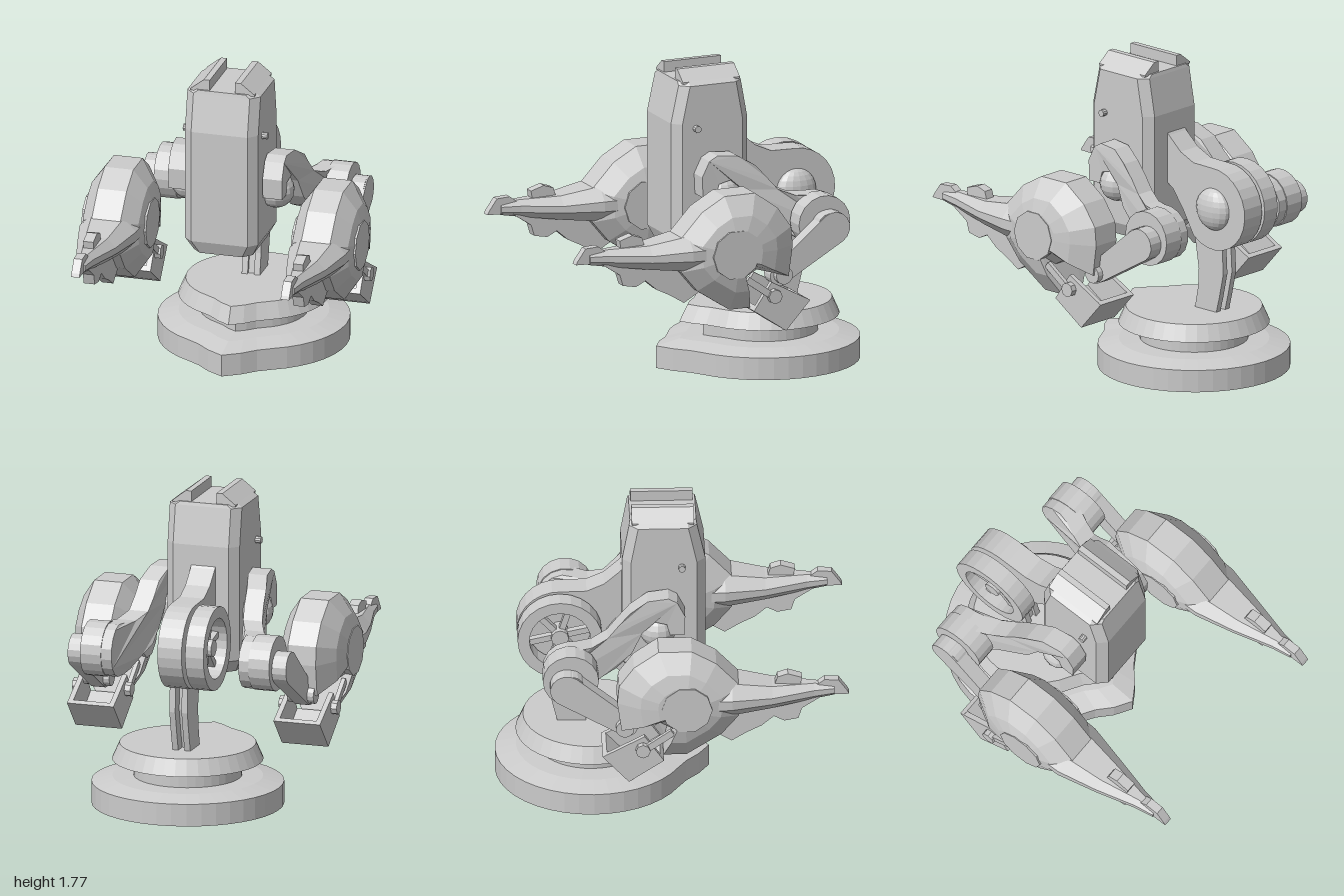
import * as THREE from 'three';

const mat = new THREE.MeshStandardMaterial({ color: 0xcccccc, flatShading: true, side: THREE.DoubleSide });

function add(parent, name, geo, x = 0, y = 0, z = 0) {
  const m = new THREE.Mesh(geo, mat);
  m.name = name;
  m.position.set(x, y, z);
  parent.add(m);
  return m;
}

// Plate drawn as [z, y] points, extruded to a width along x and centred on x = 0
function plate(pts, width, holes = []) {
  const s = new THREE.Shape(pts.map(p => new THREE.Vector2(...p)));
  holes.forEach(h => s.holes.push(new THREE.Path(h.map(p => new THREE.Vector2(...p)))));
  const g = new THREE.ExtrudeGeometry(s, { depth: width, bevelEnabled: false });
  return g.translate(0, 0, -width / 2).rotateY(-Math.PI / 2);
}

// Arc of [z, y] points
function arc(cz, cy, r, a0, a1, n) {
  return Array.from({ length: n + 1 }, (_, i) => {
    const a = a0 + (a1 - a0) * i / n;
    return [cz + r * Math.cos(a), cy + r * Math.sin(a)];
  });
}

// Cylinder along x
function drum(r, w, n = 18) {
  return new THREE.CylinderGeometry(r, r, w, n).rotateZ(Math.PI / 2);
}

// Closed solid through equal-length rings of [x, y, z] points
function loft(rings) {
  const n = rings[0].length, v = rings.flat(), idx = [];
  for (let r = 0; r < rings.length - 1; r++) for (let i = 0; i < n; i++) {
    const a = r * n + i, b = r * n + (i + 1) % n;
    idx.push([a, b, a + n], [b, b + n, a + n]);
  }
  [0, rings.length - 1].forEach(r => {
    const c = [0, 1, 2].map(k => rings[r].reduce((s, p) => s + p[k], 0) / n);
    v.push(c);
    for (let i = 0; i < n; i++) {
      const a = r * n + i, b = r * n + (i + 1) % n;
      idx.push(r ? [a, b, v.length - 1] : [b, a, v.length - 1]);
    }
  });
  // turn the faces outward
  const P = v.map(p => new THREE.Vector3(...p));
  const vol = idx.reduce((s, [a, b, c]) => s + P[a].dot(P[b].clone().cross(P[c])), 0);
  const g = new THREE.BufferGeometry().setFromPoints(P);
  g.setIndex(idx.flatMap(t => vol < 0 ? [t[0], t[2], t[1]] : t));
  const out = g.toNonIndexed();
  out.computeVertexNormals();
  return out;
}

// Rectangle with cut corners, in two axes
function chamfered(a0, a1, b0, b1, c) {
  return [[a0 + c, b0], [a1 - c, b0], [a1, b0 + c], [a1, b1 - c], [a1 - c, b1], [a0 + c, b1], [a0, b1 - c], [a0, b0 + c]];
}

// Turned base with a small pointed nose at the front
function makeBase() {
  const prof = [[0, 0], [.55, 0], [.55, .13], [.43, .16], [.31, .165], [.31, .26], [.432, .26], [.39, .355], [0, .355]];
  const g = new THREE.LatheGeometry(prof.map(p => new THREE.Vector2(...p)), 40);
  const p = g.attributes.position;
  for (let i = 0; i < p.count; i++) {
    const x = p.getX(i), z = p.getZ(i), a = Math.abs(Math.atan2(x, z));
    const k = 1 + .22 * Math.max(0, 1 - a / .36);
    p.setXYZ(i, x * k, p.getY(i), z * k);
  }
  g.computeVertexNormals();
  return g;
}

// Tall chamfered body with a grooved top and side pins
function makeBody(parent) {
  const g = new THREE.Group();
  g.name = 'body';
  const levels = [[.72, .175, -.22, .16], [.8, .217, -.28, .195], [1.47, .217, -.28, .195],
    [1.69, .217, -.24, .147], [1.71, .19, -.235, .143]];
  add(g, 'bodyShell', loft(levels.map(([y, hx, z0, z1]) =>
    chamfered(-hx, hx, z0, z1, .05).map(([x, z]) => [x, y, z]))));
  for (const s of [-1, 1]) {
    const sh = new THREE.Shape([[.075, 1.70], [.19, 1.70], [.19, 1.71], [.11, 1.772], [.075, 1.772]]
      .map(([x, y]) => new THREE.Vector2(s * x, y)));
    add(g, 'topRidge', new THREE.ExtrudeGeometry(sh, { depth: .355, bevelEnabled: false }), 0, 0, -.225);
    add(g, 'sidePin', drum(.02, .06, 10), s * .22, 1.44, .06);
  }
  parent.add(g);
}

// Pillar, neck and the open wheel beside it
function makeNeck(parent) {
  const g = new THREE.Group();
  g.name = 'neck';
  const pillar = [[-.48, .35], [-.505, .48], [-.51, .59], [-.48, .78], [-.69, .78], [-.70, .59], [-.67, .45], [-.645, .35]];
  for (const x of [-.045, .028]) add(g, 'pillarFin', plate(pillar, .035), x);
  add(g, 'pillarWeb', plate(pillar.map(([z, y]) => [z < -.6 ? z + .07 : z - .02, y]), .06), -.01);
  add(g, 'neckBeam', plate([[-.24, 1.4], [-.29, 1.34], [-.38, 1.26], [-.48, 1.215],
    ...arc(-.635, .97, .243, 1.5, 5.4, 16), [-.4, .92], [-.32, 1.03], [-.24, 1.08]], .145), -.015);
  const dome = add(g, 'hubDome', new THREE.SphereGeometry(.125, 16, 12), .05, .97, -.635);
  dome.scale.x = .58;
  const T = Math.PI * 2;
  add(g, 'wheelRim', plate(arc(0, 0, .243, 0, T, 24).slice(1), .11,
    [arc(0, 0, .175, 0, T, 24).slice(1)]), -.165, .97, -.635);
  for (let i = 0; i < 3; i++) {
    add(g, 'wheelSpoke', new THREE.BoxGeometry(.04, .37, .035), -.15, .97, -.635).rotation.x = i * Math.PI / 3 + .3;
  }
  add(g, 'wheelAxle', drum(.05, .14, 12), -.13, .97, -.635);
  parent.add(g);
}

// Hooked arm from the body joint back to the shoulder drum, bent outward by depth
function makeArm(parent, s) {
  const g = new THREE.Group();
  g.name = s > 0 ? 'leftArm' : 'rightArm';
  const hook = plate([[.07, 1.06], [.075, 1.18], [.03, 1.27], [-.02, 1.298], [-.14, 1.29], [-.24, 1.23], [-.31, 1.15],
    [-.37, 1.08], [-.46, 1.045], ...arc(-.585, .9, .155, 1.3, 5.3, 10), [-.42, .83], [-.32, .88],
    [-.23, .97], [-.17, 1.09], [-.1, 1.15], [-.03, 1.13], [-.01, 1.06]], .115);
  const p = hook.attributes.position;
  for (let i = 0; i < p.count; i++) {
    const z = p.getZ(i);
    p.setX(i, p.getX(i) + s * (.28 + .05 * THREE.MathUtils.smoothstep(-z, .05, .3) + .11 * THREE.MathUtils.smoothstep(-z, .3, .62)));
  }
  hook.computeVertexNormals();
  add(g, 'hookedArm', hook);
  const ball = add(g, 'bodyJoint', new THREE.SphereGeometry(.105, 14, 10), s * .26, 1.06, -.08);
  ball.scale.x = 1;
  add(g, 'shoulderDrum', drum(.16, .125), s * .507, .9, -.585);
  add(g, 'shoulderAxle', drum(.085, .1), s * .6, .89, -.59);
  // strut down to the pod
  const link = plate([...arc(0, 0, .095, 0, Math.PI, 8), ...arc(0, -.42, .06, Math.PI, Math.PI * 2, 8)], .085);
  add(g, 'strut', link, s * .615, .885, -.61).rotation.x = -.96;
  add(g, 'strutPivot', drum(.052, .16, 14), s * .615, .65, -.28);
  parent.add(g);
}

// Faceted pod with a long tapering snout
function makePod(parent, s) {
  const g = new THREE.Group();
  g.name = s > 0 ? 'leftPod' : 'rightPod';
  g.position.x = s * .622;
  const outline = [[.1, 1.16], [-.09, 1.16], [-.23, 1.06], [-.315, .94], [-.325, .83], [-.3, .65], [-.1, .71], [-.01, .66],
    [-.06, .49], [.07, .49], [.27, .62], [.37, .74], [.38, .93], [.24, 1.08]];
  const layers = [[-.188, .4], [-.165, .66], [-.085, 1], [.085, 1], [.165, .66], [.188, .4]];
  add(g, 'podShell', loft(layers.map(([x, k]) =>
    outline.map(([z, y]) => [x, .84 + (y - .84) * k, .06 + (z - .06) * k]))));
  add(g, 'sideBoss', drum(.145, .384, 10), 0, .835, .07);
  const secs = [[.05, .175, .73, .96], [.33, .168, .745, .95], [.56, .115, .772, .912], [.8, .052, .805, .905], [.915, .034, .825, .895]];
  add(g, 'snout', loft(secs.map(([z, hx, y0, y1]) =>
    chamfered(-hx, hx, y0, y1, Math.min(hx * .6, (y1 - y0) * .36)).map(([x, y]) => [x, y, z]))));
  add(g, 'muzzle', plate([[1, .835], [.99, .855], [.94, .925], [.86, .93], [.82, .9], [.82, .83]], .05));
  add(g, 'topSight', plate([[.72, .89], [.73, .95], [.65, .975], [.59, .955], [.57, .89]], .06));
  add(g, 'underFin', plate([[.85, .83], [.73, .75], [.71, .685], [.63, .67], [.57, .7], [.5, .64], [.42, .6], [.33, .545],
    [.27, .58], [.2, .62], [.25, .83]], .065));
  // open scoop hanging behind the pod
  const cheek = [[-.17, .64], [-.41, .51], [-.26, .345], [-.06, .48]];
  for (const x of [-.125, .125]) add(g, 'scoopCheek', plate(cheek, .03), x);
  add(g, 'scoopBack', plate([[-.385, .525], [-.41, .51], [-.26, .345], [-.235, .36]], .28));
  add(g, 'scoopFloor', plate([[-.26, .345], [-.28, .37], [-.08, .505], [-.06, .48]], .26));
  for (const x of [-.15, .15]) {
    const brace = add(g, 'scoopBrace', new THREE.BoxGeometry(.025, .04, .22), x, .61, -.1);
    brace.rotation.x = -.62;
    add(g, 'scoopBolt', drum(.042, .05, 8), x, .56, -.18);
  }
  parent.add(g);
}

export function createModel() {
  const model = new THREE.Group();
  model.name = 'turret';
  add(model, 'base', makeBase(), .02, 0, -.45);
  makeNeck(model);
  makeBody(model);
  for (const s of [-1, 1]) {
    makeArm(model, s);
    makePod(model, s);
  }
  return model;
}
